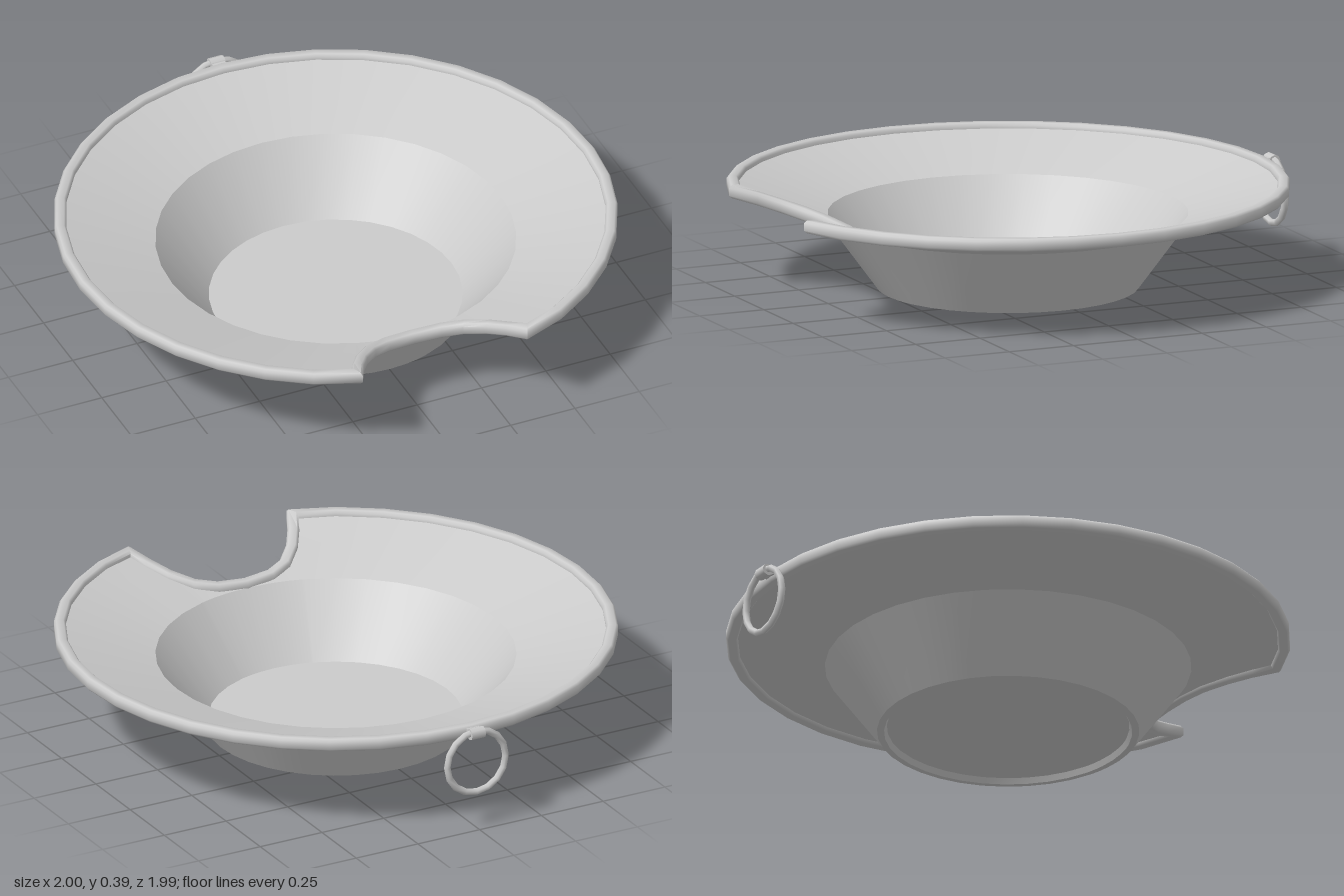
import * as THREE from 'three';
import { toCreasedNormals } from 'three/addons/utils/BufferGeometryUtils.js';

const CZ = 0.05; // centre of the bowl along z
const material = new THREE.MeshStandardMaterial({ color: 0xcccccc, side: THREE.DoubleSide });

// Skin a grid of rows; every row is a closed loop of points
function skin(rows, closeRows, crease) {
  const pos = [];
  const n = rows[0].length;
  const last = closeRows ? rows.length : rows.length - 1;
  for (let i = 0; i < last; i++) {
    const lower = rows[i], upper = rows[(i + 1) % rows.length];
    for (let j = 0; j < n; j++) {
      const k = (j + 1) % n;
      for (const p of [lower[j], lower[k], upper[k], lower[j], upper[k], upper[j]]) pos.push(p.x, p.y, p.z);
    }
  }
  const geometry = new THREE.BufferGeometry();
  geometry.setAttribute('position', new THREE.Float32BufferAttribute(pos, 3));
  return toCreasedNormals(geometry, crease);
}

// Height of the sloping brim at a given radius
const brimHeight = (r) => 0.26 + (r - 0.65) * 0.3125;

// Plan outline: a circle with a neck notch at the front, as [angle, radius]
function makeOutline() {
  const notch = [[0.1, 0.69], [0.17, 0.72], [0.23, 0.78], [0.275, 0.85], [0.32, 0.94]]
    .map(([x, z]) => [Math.atan2(x, z), Math.hypot(x, z)]);
  const tip = notch[notch.length - 1][0];
  const outline = [[0, 0.68], ...notch];
  const steps = 32;
  for (let i = 1; i < steps; i++) outline.push([tip + (2 * Math.PI - 2 * tip) * i / steps, 1]);
  for (const [a, r] of [...notch].reverse()) outline.push([2 * Math.PI - a, r]);
  return outline;
}

const polar = (a, r, y) => new THREE.Vector3(r * Math.sin(a), y, CZ + r * Math.cos(a));

function makeBowl(outline) {
  const ring = (r, y) => outline.map(([a]) => polar(a, r, y));
  const edge = (lift) => outline.map(([a, r]) => polar(a, r - 0.02, brimHeight(r - 0.02) + lift));
  // Underside, outer wall, brim edge, inner wall, floor
  const rows = [
    ring(0, 0.02), ring(0.43, 0.02), ring(0.44, 0), ring(0.465, 0.003), ring(0.65, 0.255),
    edge(-0.005), edge(0.008),
    ring(0.64, 0.268), ring(0.45, 0.03), ring(0, 0.03),
  ];
  return skin(rows, false, 0.6);
}

function makeRim(outline) {
  const pts = outline.map(([a, r]) => polar(a, r, 0));
  const n = pts.length;
  // Inward mitred offset at each outline point
  const inward = pts.map((p, i) => {
    const d1 = p.clone().sub(pts[(i + n - 1) % n]).normalize();
    const d2 = pts[(i + 1) % n].clone().sub(p).normalize();
    const n1 = new THREE.Vector3(-d1.z, 0, d1.x);
    const n2 = new THREE.Vector3(-d2.z, 0, d2.x);
    const m = n1.clone().add(n2).normalize();
    if (m.dot(n1) < 0) m.negate();
    return m.multiplyScalar(Math.min(1.6, 1 / Math.max(0.3, m.dot(n1))));
  });
  // Make sure the offset points into the bowl
  const sign = inward[n >> 1].z > 0 ? 1 : -1;
  // Rounded band section: [distance inward, height]
  const section = [
    [0.008, -0.023], [0, -0.014], [0, 0.014], [0.008, 0.023],
    [0.034, 0.023], [0.042, 0.014], [0.042, -0.014], [0.034, -0.023],
  ];
  const rows = section.map(([d, h]) => pts.map((p, i) => {
    const q = p.clone().addScaledVector(inward[i], sign * d);
    q.y = Math.min(0.362, brimHeight(outline[i][1])) + h;
    return q;
  }));
  return skin(rows, true, 0.9);
}

export function createModel() {
  const model = new THREE.Group();
  model.name = 'notchedBasin';
  const add = (name, geometry, x = 0, y = 0, z = 0) => {
    const mesh = new THREE.Mesh(geometry, material);
    mesh.name = name;
    mesh.position.set(x, y, z);
    model.add(mesh);
    return mesh;
  };

  const outline = makeOutline();
  add('bowl', makeBowl(outline));
  add('rim', makeRim(outline));

  // Hanging ring and its eyelet at the back
  add('hangingRing', new THREE.TorusGeometry(0.118, 0.013, 6, 16), 0, 0.257, -0.976);
  add('eyelet', new THREE.CylinderGeometry(0.022, 0.022, 0.055, 8).rotateZ(Math.PI / 2), 0, 0.367, -0.976);
  add('eyeletTab', new THREE.BoxGeometry(0.05, 0.022, 0.04), 0, 0.367, -0.952);
  return model;
}
